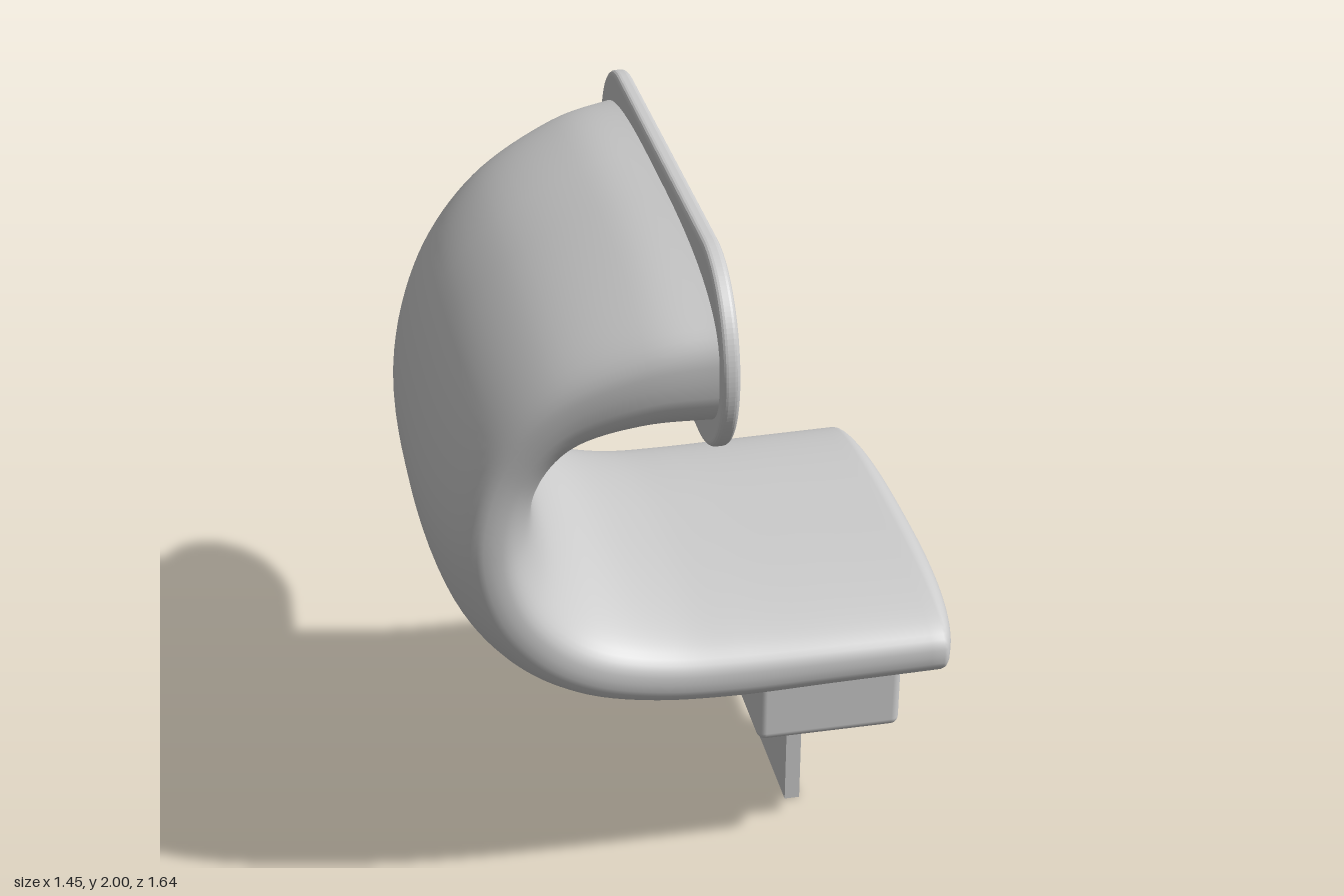
import * as THREE from 'three';
import { RoundedBoxGeometry } from 'three/addons/geometries/RoundedBoxGeometry.js';

const grey = new THREE.MeshStandardMaterial({ color: 0xcccccc });
grey.name = 'grey';

// Stations of the curled cushion: outer x, y, inner x, y, half width, squareness
const stations = [
  [0.00, 1.955, 0.00, 1.505, 0.79, 2.9],
  [-0.20, 1.91, -0.19, 1.49, 0.755, 2.8],
  [-0.45, 1.775, -0.335, 1.43, 0.70, 2.7],
  [-0.635, 1.555, -0.40, 1.32, 0.66, 2.6],
  [-0.722, 1.25, -0.415, 1.20, 0.645, 2.6],
  [-0.68, 0.98, -0.38, 1.07, 0.63, 2.6],
  [-0.56, 0.785, -0.30, 0.965, 0.612, 2.6],
  [-0.39, 0.66, -0.20, 0.905, 0.603, 2.6],
  [-0.19, 0.60, -0.05, 0.873, 0.60, 2.6],
  [0.06, 0.587, 0.12, 0.863, 0.603, 2.7],
  [0.35, 0.60, 0.37, 0.861, 0.61, 2.7],
  [0.645, 0.61, 0.645, 0.861, 0.615, 2.7],
];

// Superellipse rings swept through the stations, closed by a domed end
function cushionGeometry() {
  const track = (f) => new THREE.CatmullRomCurve3(stations.map((s) => new THREE.Vector3(...f(s))), false, 'centripetal');
  const spline = (f) => {
    const c = track(f);
    c.curveType = 'catmullrom';
    return c;
  };
  const outer = spline((s) => [s[0], s[1], 0]);
  const inner = spline((s) => [s[2], s[3], 0]);
  const size = spline((s) => [s[4], s[5], 0]);
  const along = 88, around = 72, dome = 12;
  const pos = [], index = [];
  const power = (v, n) => Math.sign(v) * Math.abs(v) ** (2 / n);
  for (let i = 0; i <= along + dome; i++) {
    const t = Math.min(i / along, 1);
    const a = Math.max(0, i - along) / dome * Math.PI / 2;
    const o = outer.getPoint(t), n = inner.getPoint(t), s = size.getPoint(t);
    const scale = Math.max(Math.cos(a), 0.0005);
    const cx = (o.x + n.x) / 2 + 0.078 * Math.sin(a), cy = (o.y + n.y) / 2;
    for (let j = 0; j < around; j++) {
      const b = j / around * Math.PI * 2;
      const u = power(Math.cos(b), s.y) * scale / 2;
      const w = power(Math.sin(b), s.y) * scale;
      pos.push(cx + (o.x - n.x) * u, cy + (o.y - n.y) * u, s.x * w);
    }
  }
  for (let i = 0; i < along + dome; i++) {
    for (let j = 0; j < around; j++) {
      const k = (j + 1) % around;
      const p = i * around + j, q = i * around + k;
      index.push(p, p + around, q, q, p + around, q + around);
    }
  }
  const geometry = new THREE.BufferGeometry();
  geometry.setAttribute('position', new THREE.Float32BufferAttribute(pos, 3));
  geometry.setIndex(index);
  geometry.computeVertexNormals();
  return geometry;
}

// Pill-shaped plate with a softly rounded rim, facing +x
function plateGeometry() {
  const bevel = 0.015, r = 0.27 - bevel, half = 0.55;
  const shape = new THREE.Shape();
  shape.absarc(half, 0, r, -Math.PI / 2, Math.PI / 2, false);
  shape.absarc(-half, 0, r, Math.PI / 2, Math.PI * 1.5, false);
  shape.closePath();
  const geometry = new THREE.ExtrudeGeometry(shape, {
    depth: 0.046 - 2 * bevel, bevelEnabled: true, bevelSize: bevel,
    bevelThickness: bevel, bevelSegments: 4, curveSegments: 32,
  });
  geometry.translate(0, 0, -0.023 + bevel);
  return geometry.rotateY(Math.PI / 2);
}

export function createModel() {
  const group = new THREE.Group();
  const add = (name, geometry, x = 0, y = 0, z = 0) => {
    const mesh = new THREE.Mesh(geometry, grey);
    mesh.name = name;
    mesh.position.set(x, y, z);
    group.add(mesh);
  };
  add('curledCushion', cushionGeometry());
  add('endPlate', plateGeometry(), -0.002, 1.73, 0);
  add('mountBlock', new RoundedBoxGeometry(0.41, 0.285, 0.85, 4, 0.025), 0.385, 0.5275, 0);
  add('stem', new THREE.BoxGeometry(0.044, 0.42, 0.39), 0.344, 0.21, 0.003);
  return group;
}
